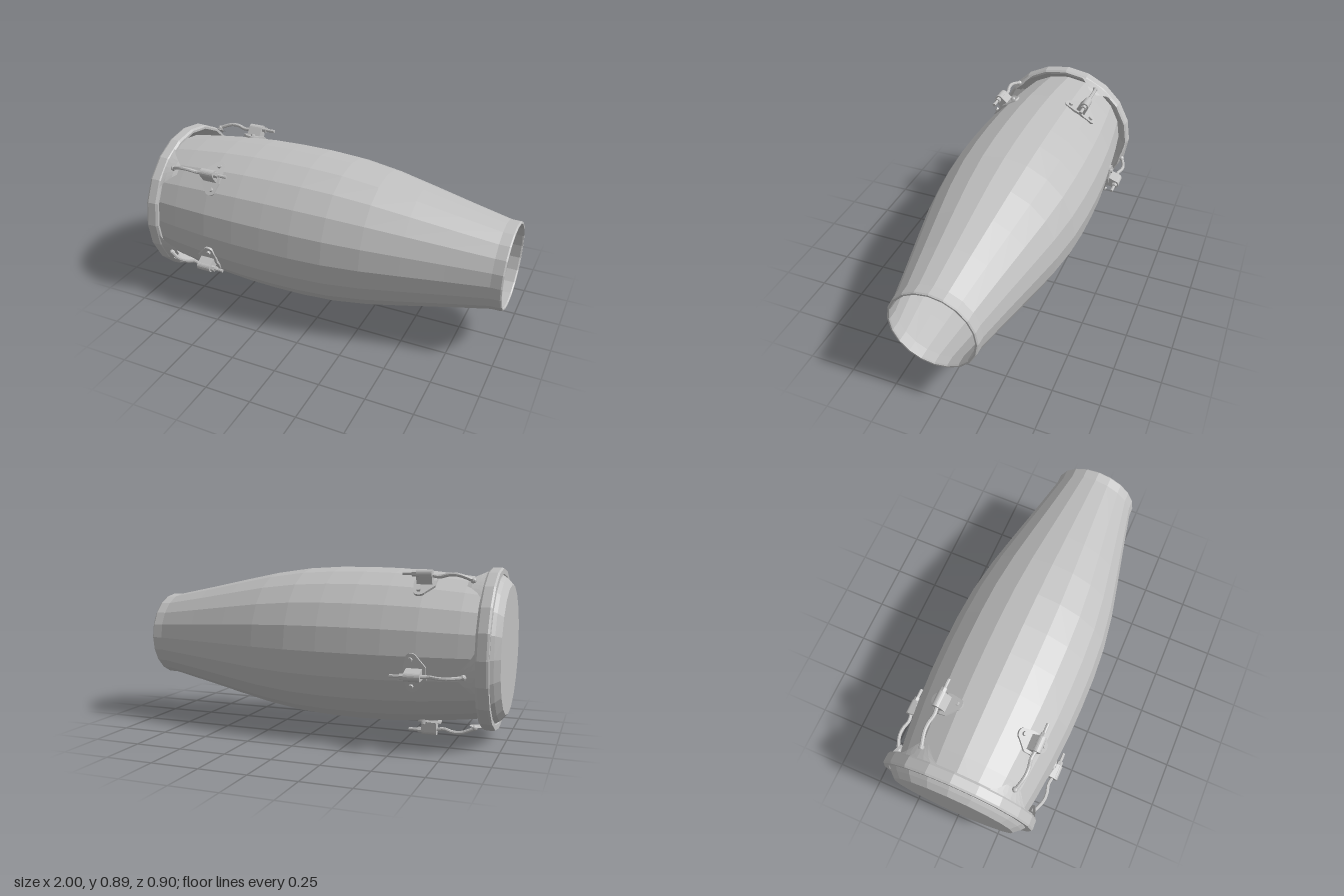
import * as THREE from 'three';

const AXIS_Y = 0.483, AXIS_Z = 0.017, SIDES = 20;

export function createModel() {
  const grey = new THREE.MeshStandardMaterial({ color: 0xc0c0c0, flatShading: true, side: THREE.DoubleSide });
  const drum = new THREE.Group();
  drum.name = 'drum';
  drum.position.set(0, AXIS_Y, AXIS_Z);

  const add = (parent, name, geometry) => {
    const mesh = new THREE.Mesh(geometry, grey);
    mesh.name = name;
    parent.add(mesh);
    return mesh;
  };
  // Turns a profile of [x, radius] pairs around the x axis
  const turned = (profile, sides = SIDES) =>
    new THREE.LatheGeometry(profile.map(([x, r]) => new THREE.Vector2(r, x)), sides).rotateZ(-Math.PI / 2);
  // Cylinder lying along x
  const rodX = (r, length, x, y, sides = 10) =>
    new THREE.CylinderGeometry(r, r, length, sides).rotateZ(Math.PI / 2).translate(x, y, 0);

  // Hollow tapered shell with a straight foot
  const outer = [[-0.95, 0.352], [-0.8, 0.375], [-0.6, 0.398], [-0.42, 0.41], [-0.25, 0.414], [-0.08, 0.412],
    [0.1, 0.401], [0.3, 0.372], [0.5, 0.33], [0.72, 0.282], [0.94, 0.236], [0.993, 0.235]];
  const inner = outer.map(([x, r]) => [x, r - 0.017]).reverse();
  add(drum, 'shell', turned([...outer, [1, 0.23], [1, 0.222], ...inner]));

  // Flat skin with a bevelled shoulder
  add(drum, 'skin', turned([[-0.988, 0], [-0.988, 0.325], [-0.95, 0.355], [-0.92, 0.385],
    [-0.955, 0.382], [-0.972, 0.368], [-1, 0.335], [-1, 0]].reverse()));

  // Tension hoop
  add(drum, 'hoop', turned([[-0.945, 0.375], [-0.955, 0.39], [-0.955, 0.417], [-0.945, 0.422],
    [-0.9, 0.42], [-0.888, 0.412], [-0.888, 0.4], [-0.92, 0.372], [-0.945, 0.375]].reverse()));

  // Skirt flap on the hoop: a curved plate narrowing towards the hook
  const flapGeometry = () => {
    const rows = [[-0.892, 0.415, 17], [-0.87, 0.413, 12], [-0.835, 0.41, 7], [-0.812, 0.405, 4]];
    const columns = 6, positions = [], index = [];
    rows.forEach(([x, r, half], i) => {
      for (let j = 0; j <= columns; j++) {
        const a = THREE.MathUtils.degToRad(half * (2 * j / columns - 1));
        positions.push(x, r * Math.cos(a), r * Math.sin(a));
        if (i && j) {
          const d = i * (columns + 1) + j, b = d - columns - 1;
          index.push(b - 1, d - 1, b, b, d - 1, d);
        }
      }
    });
    const g = new THREE.BufferGeometry();
    g.setAttribute('position', new THREE.Float32BufferAttribute(positions, 3));
    g.setIndex(index);
    g.computeVertexNormals();
    return g;
  };

  // Wing of the side plate: wide at the clamp, rounded at the tip
  const wing = new THREE.Shape();
  wing.moveTo(-0.655, 0);
  wing.lineTo(-0.655, 0.035);
  wing.lineTo(-0.612, 0.083);
  wing.quadraticCurveTo(-0.605, 0.1, -0.58, 0.102);
  wing.quadraticCurveTo(-0.555, 0.1, -0.553, 0.08);
  wing.lineTo(-0.542, 0.03);
  wing.lineTo(-0.542, 0);
  const wingGeometry = new THREE.ExtrudeGeometry(wing, { depth: 0.012, bevelEnabled: false, curveSegments: 4 })
    .rotateX(Math.PI / 2 + 0.17).translate(0, 0.413, 0);
  const boltGeometry = new THREE.CylinderGeometry(0.011, 0.013, 0.014, 8)
    .rotateX(0.17).translate(-0.578, 0.405, 0.07);

  // Bent hook rod
  const hookPath = new THREE.CatmullRomCurve3([[-0.84, 0.418], [-0.815, 0.431], [-0.765, 0.45], [-0.72, 0.45],
    [-0.675, 0.438], [-0.63, 0.445], [-0.55, 0.452]].map(([x, y]) => new THREE.Vector3(x, y, 0)));
  const hookGeometry = new THREE.TubeGeometry(hookPath, 18, 0.01, 8);

  // Clamp block with a rounded top
  const clamp = new THREE.Shape();
  clamp.moveTo(0.03, 0.395);
  clamp.lineTo(0.022, 0.45);
  clamp.absarc(0, 0.452, 0.023, 0, Math.PI);
  clamp.lineTo(-0.03, 0.395);
  const clampGeometry = new THREE.ExtrudeGeometry(clamp, { depth: 0.08, bevelEnabled: false, curveSegments: 5 })
    .rotateY(Math.PI / 2).translate(-0.638, 0, 0);

  // Five tuning lugs around the shell
  for (let k = 0; k < 5; k++) {
    const lug = new THREE.Group();
    lug.name = 'tuningLug';
    lug.rotation.x = THREE.MathUtils.degToRad(42.4 + 72 * k);
    drum.add(lug);
    add(lug, 'hoopFlap', flapGeometry());
    add(lug, 'hook', hookGeometry);
    add(lug, 'hookEnd', new THREE.SphereGeometry(0.015, 8, 6).translate(-0.838, 0.418, 0));
    add(lug, 'clamp', clampGeometry);
    add(lug, 'nut', rodX(0.016, 0.024, -0.547, 0.453, 6));
    add(lug, 'threadedEnd', rodX(0.009, 0.07, -0.52, 0.453, 8));
    for (const side of [1, -1]) {
      add(lug, 'plateWing', wingGeometry).scale.z = side;
      add(lug, 'bolt', boltGeometry).scale.z = side;
    }
  }

  const model = new THREE.Group();
  model.name = 'handDrum';
  model.add(drum);
  return model;
}
